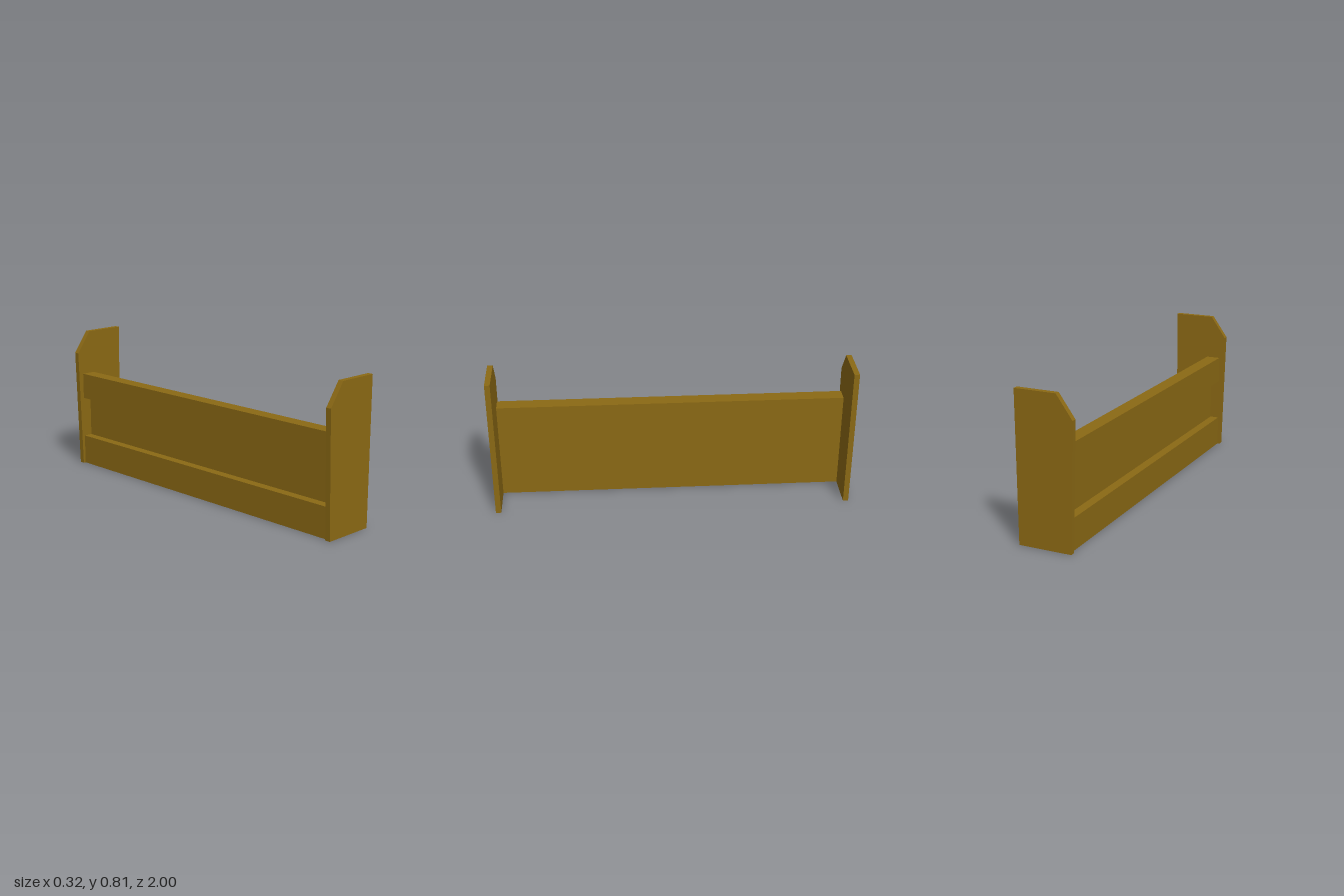
import * as THREE from 'three';

export function createModel() {
  const model = new THREE.Group();
  model.name = 'benchFrame';
  const wood = new THREE.MeshStandardMaterial({ color: 0x8b6914 });
  wood.name = 'brown wood';

  const panelThickness = 0.03;
  const innerZ = 1 - panelThickness;

  const add = (name, geometry, x = 0, y = 0, z = 0) => {
    const mesh = new THREE.Mesh(geometry, wood);
    mesh.name = name;
    mesh.position.set(x, y, z);
    model.add(mesh);
  };

  // End panels: tapered boards with one clipped top corner
  const profile = new THREE.Shape([
    [-0.142, 0], [0.154, 0], [0.16, 0.815], [-0.072, 0.815], [-0.161, 0.69],
  ].map(([x, y]) => new THREE.Vector2(x, y)));
  const panel = new THREE.ExtrudeGeometry(profile, { depth: panelThickness, bevelEnabled: false });
  add('frontEndPanel', panel, 0, 0, innerZ);
  add('backEndPanel', panel, 0, 0, -1);

  // Lengthwise boards spanning between the end panels
  const plank = (name, x0, x1, y0, y1) => add(
    name,
    new THREE.BoxGeometry(x1 - x0, y1 - y0, innerZ * 2),
    (x0 + x1) / 2, (y0 + y1) / 2,
  );
  plank('faceBoard', -0.077, -0.047, 0, 0.56);
  plank('upperRail', -0.128, -0.077, 0.41, 0.56);
  plank('lowerRail', -0.128, -0.077, 0, 0.172);

  return model;
}
